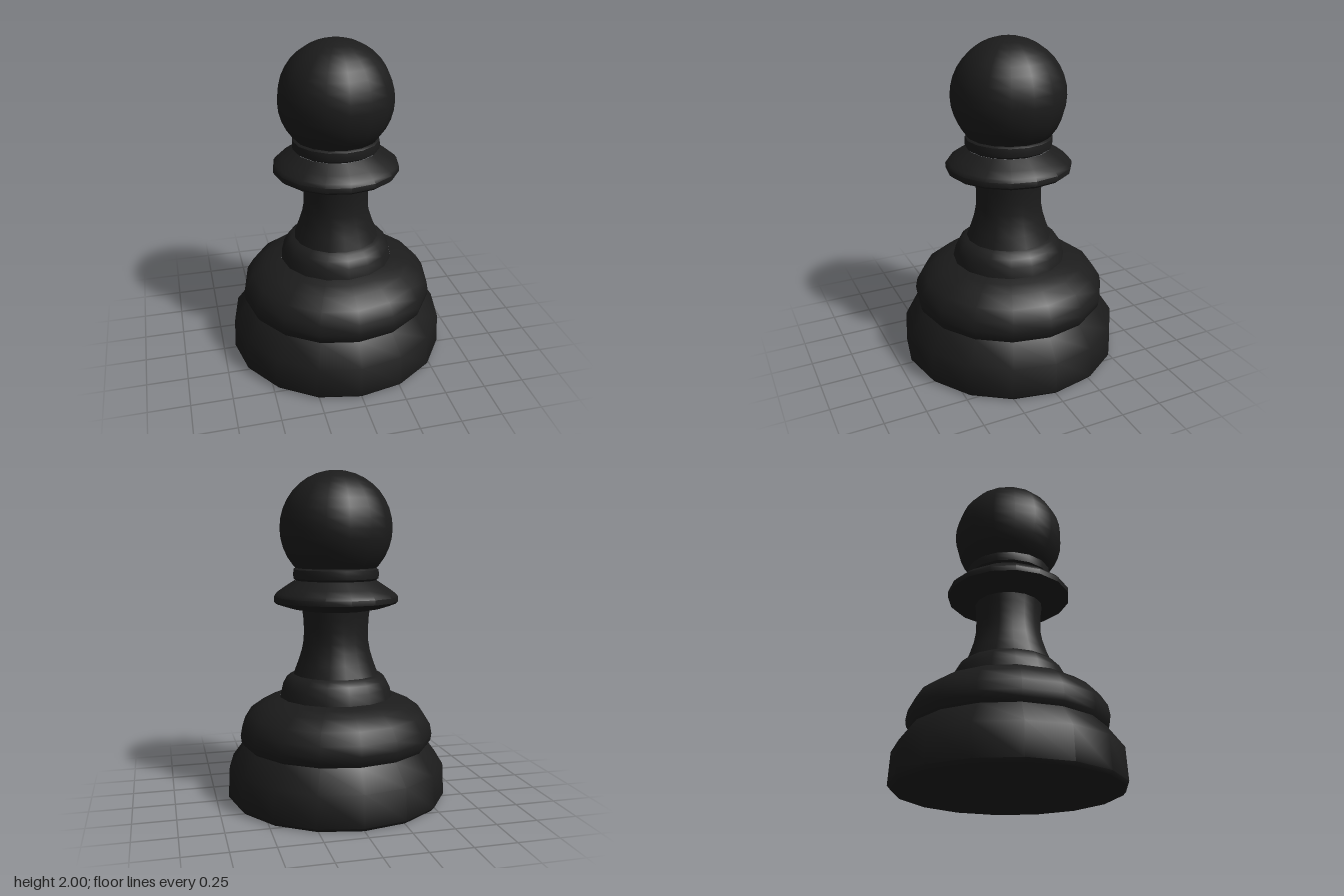
import * as THREE from 'three';
import { toCreasedNormals } from 'three/addons/utils/BufferGeometryUtils.js';

const SIDES = 16;

export function createModel() {
  const group = new THREE.Group();
  group.name = 'pawn';
  const material = new THREE.MeshStandardMaterial({ color: 0x1c1c1c });

  // Turn a profile of [radius, height] pairs, listed from bottom to top
  function turn(name, profile) {
    const points = profile.map(([r, y]) => new THREE.Vector2(r, y));
    const geometry = toCreasedNormals(new THREE.LatheGeometry(points, SIDES), 0.75);
    const mesh = new THREE.Mesh(geometry, material);
    mesh.name = name;
    group.add(mesh);
  }

  // Foot with a closed underside and a sloping shoulder
  turn('base', [[0, 0], [0.66, 0], [0.677, 0.02], [0.668, 0.21], [0.575, 0.335]]);

  // Rounded bulge above the foot
  turn('body', [[0.572, 0.33], [0.592, 0.36], [0.598, 0.4], [0.587, 0.46], [0.543, 0.53],
    [0.466, 0.585], [0.4, 0.613], [0.35, 0.628]]);

  // Small rounded step under the stem
  turn('lowerCollar', [[0.35, 0.625], [0.335, 0.69], [0.312, 0.733], [0.285, 0.757], [0.262, 0.768]]);

  // Flaring stem
  turn('stem', [[0.264, 0.765], [0.235, 0.84], [0.213, 0.91], [0.202, 0.97], [0.2, 1.04],
    [0.203, 1.11], [0.21, 1.165]]);

  // Wide flange below the head
  turn('flange', [[0.205, 1.16], [0.29, 1.176], [0.365, 1.2], [0.382, 1.215], [0.383, 1.245],
    [0.368, 1.264], [0.325, 1.295], [0.25, 1.343]]);

  // Neck ring
  turn('neckRing', [[0.245, 1.342], [0.262, 1.355], [0.265, 1.38], [0.262, 1.408], [0.245, 1.42], [0.2, 1.422]]);

  // Ball head, cut off inside the neck ring
  const radius = 0.345;
  const head = new THREE.Mesh(
    new THREE.SphereGeometry(radius, SIDES, 14, 0, Math.PI * 2, 0, Math.PI * 0.78), material);
  head.name = 'head';
  head.position.y = 2 - radius;
  group.add(head);

  return group;
}
